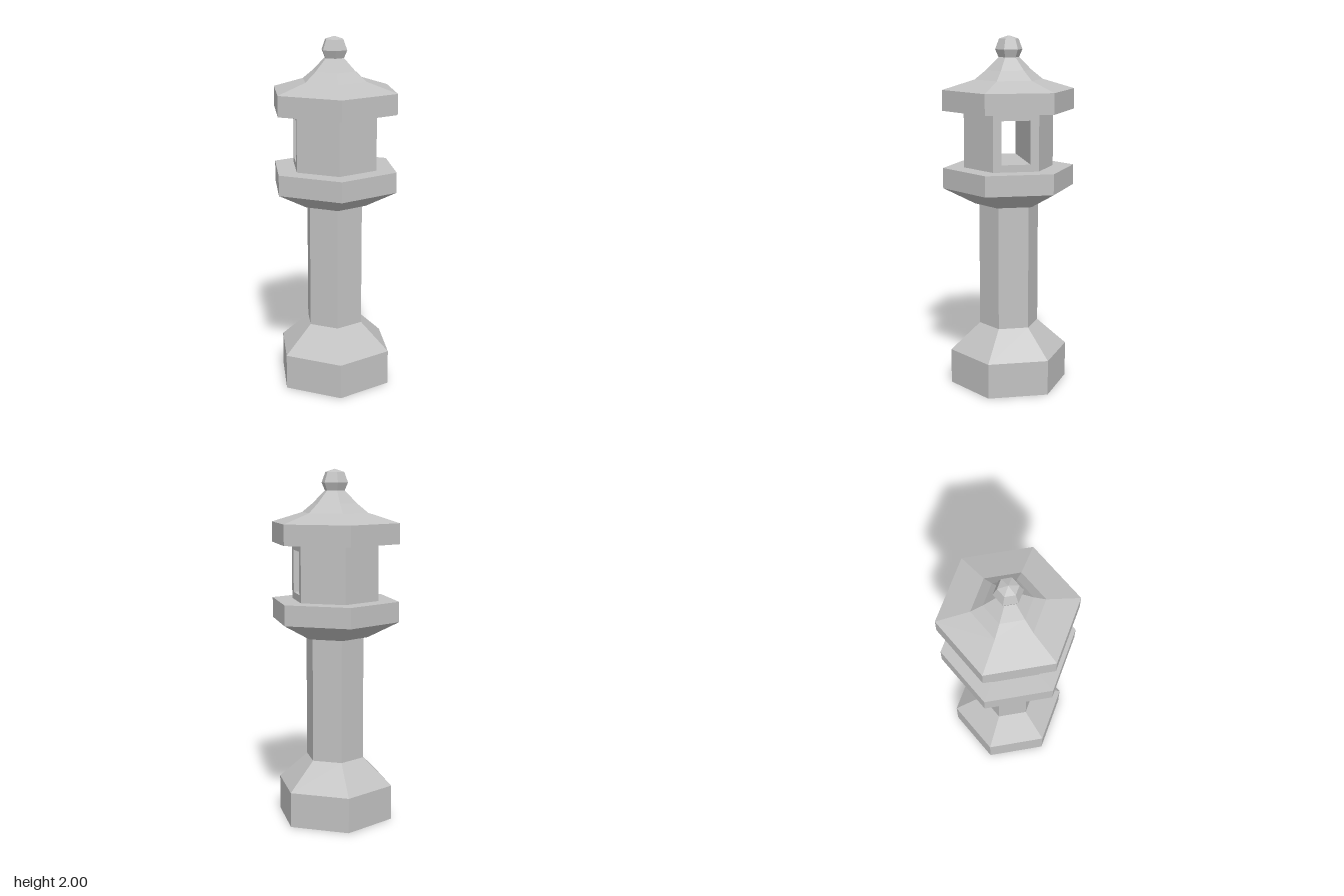
import * as THREE from 'three';

export function createModel() {
  const group = new THREE.Group();
  const stone = new THREE.MeshStandardMaterial({ color: 0xc2c2c2 });
  stone.name = 'stone';

  // Solid six-sided turning from [radius, height] rings, corners on +z and -z
  function hexSolid(name, rings) {
    const part = new THREE.Group();
    part.name = name;
    for (let i = 0; i < rings.length - 1; i++) {
      const [r0, y0] = rings[i], [r1, y1] = rings[i + 1];
      const open = i > 0 && i < rings.length - 2;
      const geo = new THREE.CylinderGeometry(r1, r0, y1 - y0, 6, 1, open).toNonIndexed();
      geo.computeVertexNormals();
      const mesh = new THREE.Mesh(geo, stone);
      mesh.name = name + 'Tier' + (i + 1);
      mesh.position.y = (y0 + y1) / 2;
      part.add(mesh);
    }
    group.add(part);
  }

  hexSolid('base', [[0.34, 0], [0.34, 0.2], [0.17, 0.355]]);
  hexSolid('post', [[0.17, 0.355], [0.17, 1.062]]);
  hexSolid('platform', [[0.195, 1.062], [0.375, 1.155], [0.375, 1.27]]);
  hexSolid('roof', [[0.375, 1.59], [0.375, 1.705], [0.193, 1.76], [0.128, 1.812], [0.055, 1.885]]);
  hexSolid('finial', [[0.055, 1.875], [0.077, 1.925], [0.055, 1.983], [0.001, 2]]);

  // Lamp chamber: sill, lintel and two piers leaving a window passage straight through
  const R = 0.255, bottom = 1.27, sillTop = 1.31, lintelBottom = 1.55, top = 1.59;
  hexSolid('sill', [[R, bottom], [R, sillTop]]);
  hexSolid('lintel', [[R, lintelBottom], [R, top]]);

  const halfWindow = 0.08, apothem = R * Math.sqrt(3) / 2;
  const section = new THREE.Shape([
    [halfWindow, -apothem], [R / 2, -apothem], [R, 0], [R / 2, apothem], [halfWindow, apothem],
  ].map(([x, y]) => new THREE.Vector2(x, y)));
  const pierGeo = new THREE.ExtrudeGeometry(section, { depth: lintelBottom - sillTop, bevelEnabled: false });
  pierGeo.rotateX(-Math.PI / 2);

  const piers = new THREE.Group();
  piers.name = 'chamberPiers';
  piers.position.y = sillTop;
  piers.rotation.y = -Math.PI / 6;
  ['leftPier', 'rightPier'].forEach((name, i) => {
    const pier = new THREE.Mesh(pierGeo, stone);
    pier.name = name;
    pier.rotation.y = i * Math.PI;
    piers.add(pier);
  });
  group.add(piers);

  return group;
}
